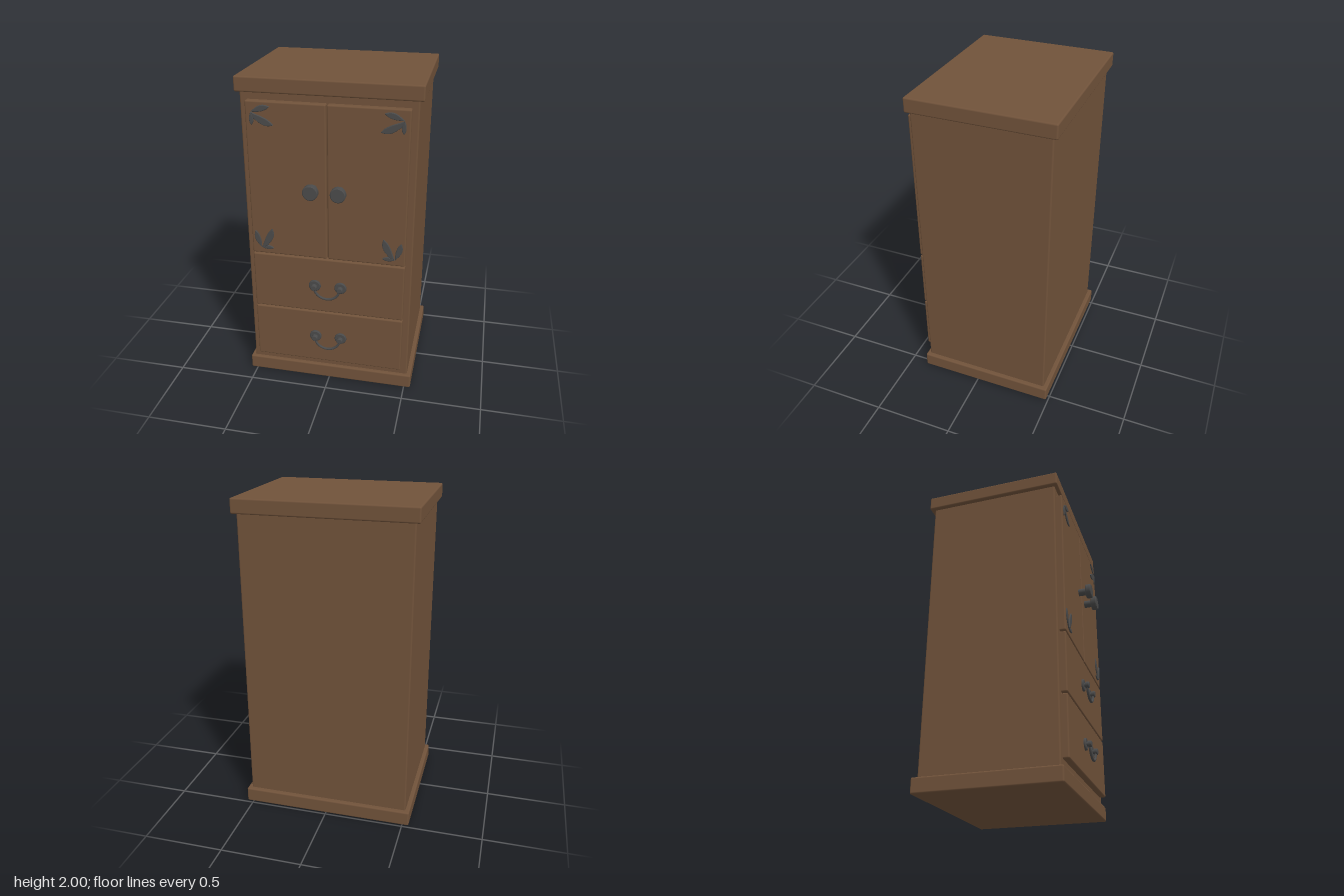
import * as THREE from 'three';
import { RoundedBoxGeometry } from 'three/addons/geometries/RoundedBoxGeometry.js';

export function createModel() {
  const root = new THREE.Group();
  root.name = 'cabinet';
  const wood = new THREE.MeshStandardMaterial({ color: 0x70523a });
  wood.name = 'brown wood';
  const iron = new THREE.MeshStandardMaterial({ color: 0x4a4a4a });
  iron.name = 'dark iron';

  const add = (parent, name, geometry, material) => {
    const mesh = new THREE.Mesh(geometry, material);
    mesh.name = name;
    parent.add(mesh);
    return mesh;
  };

  // Rounded wooden block given by its limits on each axis
  const block = (name, [x0, x1], [y0, y1], [z0, z1], radius) =>
    add(root, name, new RoundedBoxGeometry(x1 - x0, y1 - y0, z1 - z0, 3, radius), wood)
      .position.set((x0 + x1) / 2, (y0 + y1) / 2, (z0 + z1) / 2);

  // Turned part facing forward: profile of [radius, z] points
  const turned = (parent, name, profile, x, y) => {
    const points = profile.map(([r, z]) => new THREE.Vector2(r, z));
    const geometry = new THREE.LatheGeometry(points, 32).rotateX(Math.PI / 2);
    add(parent, name, geometry, iron).position.set(x, y, 0);
  };

  // Carcass
  block('body', [-0.515, 0.515], [0.08, 1.92], [-0.46, 0.365], 0.01);
  block('base', [-0.541, 0.541], [0, 0.094], [-0.487, 0.387], 0.01);
  block('top', [-0.541, 0.541], [1.91, 2], [-0.487, 0.387], 0.01);

  // Doors and drawer fronts
  const frontZ = [0.355, 0.402];
  block('rightDoor', [-0.475, -0.003], [0.904, 1.868], frontZ, 0.009);
  block('leftDoor', [0.003, 0.475], [0.904, 1.868], frontZ, 0.009);
  block('upperDrawer', [-0.475, 0.475], [0.522, 0.897], frontZ, 0.009);
  block('lowerDrawer', [-0.475, 0.475], [0.143, 0.515], frontZ, 0.009);

  // Door knobs: slim stem and broad round head
  const knob = [[0.023, 0.395], [0.023, 0.45], [0.023, 0.45], [0.041, 0.45], [0.046, 0.455],
    [0.046, 0.455], [0.046, 0.482], [0.046, 0.482], [0.041, 0.487], [0.041, 0.487], [0, 0.487]];
  for (const x of [-0.082, 0.082]) turned(root, 'doorKnob', knob, x, 1.365);

  // Drawer pulls: two rosettes with posts and a hanging bail
  const post = [[0.038, 0.398], [0.038, 0.409], [0.038, 0.409], [0.033, 0.414], [0.033, 0.414],
    [0.013, 0.414], [0.013, 0.414], [0.013, 0.422], [0.013, 0.422], [0.02, 0.422], [0.02, 0.422],
    [0.02, 0.44], [0.02, 0.44], [0.016, 0.444], [0.016, 0.444], [0, 0.444]];
  for (const y of [0.71, 0.335]) {
    const pull = new THREE.Group();
    pull.name = 'drawerPull';
    root.add(pull);
    for (const x of [-0.082, 0.082]) turned(pull, 'rosette', post, x, y);
    const arc = [];
    for (let i = 0; i <= 16; i++) {
      const a = Math.PI * (1 + i / 16);
      arc.push(new THREE.Vector3(0.08 * Math.cos(a), y + 0.075 * Math.sin(a), 0.43));
    }
    add(pull, 'bail', new THREE.TubeGeometry(new THREE.CatmullRomCurve3(arc), 40, 0.008, 10), iron);
  }

  // Curved leaf from the origin to a tip, bulging to either side and bent by an offset
  const leafGeometry = (tx, ty, width, bend) => {
    const length = Math.hypot(tx, ty);
    const nx = -ty / length, ny = tx / length;
    const at = (t, side) => [tx * t + nx * side, ty * t + ny * side];
    const shape = new THREE.Shape();
    shape.moveTo(0, 0);
    shape.bezierCurveTo(...at(0.3, bend + width * 0.35), ...at(0.65, bend + width), tx, ty);
    shape.bezierCurveTo(...at(0.75, bend - width), ...at(0.35, bend - width * 0.8), 0, 0);
    return new THREE.ExtrudeGeometry(shape, {
      depth: 0.004, curveSegments: 10, bevelEnabled: true,
      bevelThickness: 0.005, bevelSize: 0.005, bevelOffset: -0.005, bevelSegments: 3,
    });
  };
  const leaves = [
    [-0.035, 0.112, 0.03, 0.008],
    [0.073, 0.132, 0.036, -0.012],
    [0.078, 0.002, 0.022, 0.004],
    [0.052, 0.04, 0.012, -0.004],
  ].map((leaf) => leafGeometry(...leaf));

  // Leaf sprays in the outer door corners, turned a quarter at the top and mirrored
  const spray = (mirror, x, y, turn) => {
    const group = new THREE.Group();
    group.name = 'leafSpray';
    for (const geometry of leaves) add(group, 'leaf', geometry, iron).rotation.z = turn;
    group.position.set(x * mirror, y, 0.4);
    group.scale.x = mirror;
    root.add(group);
  };
  for (const mirror of [1, -1]) {
    spray(mirror, -0.415, 0.945, 0);
    spray(mirror, -0.44, 1.805, -Math.PI / 2);
  }
  return root;
}
